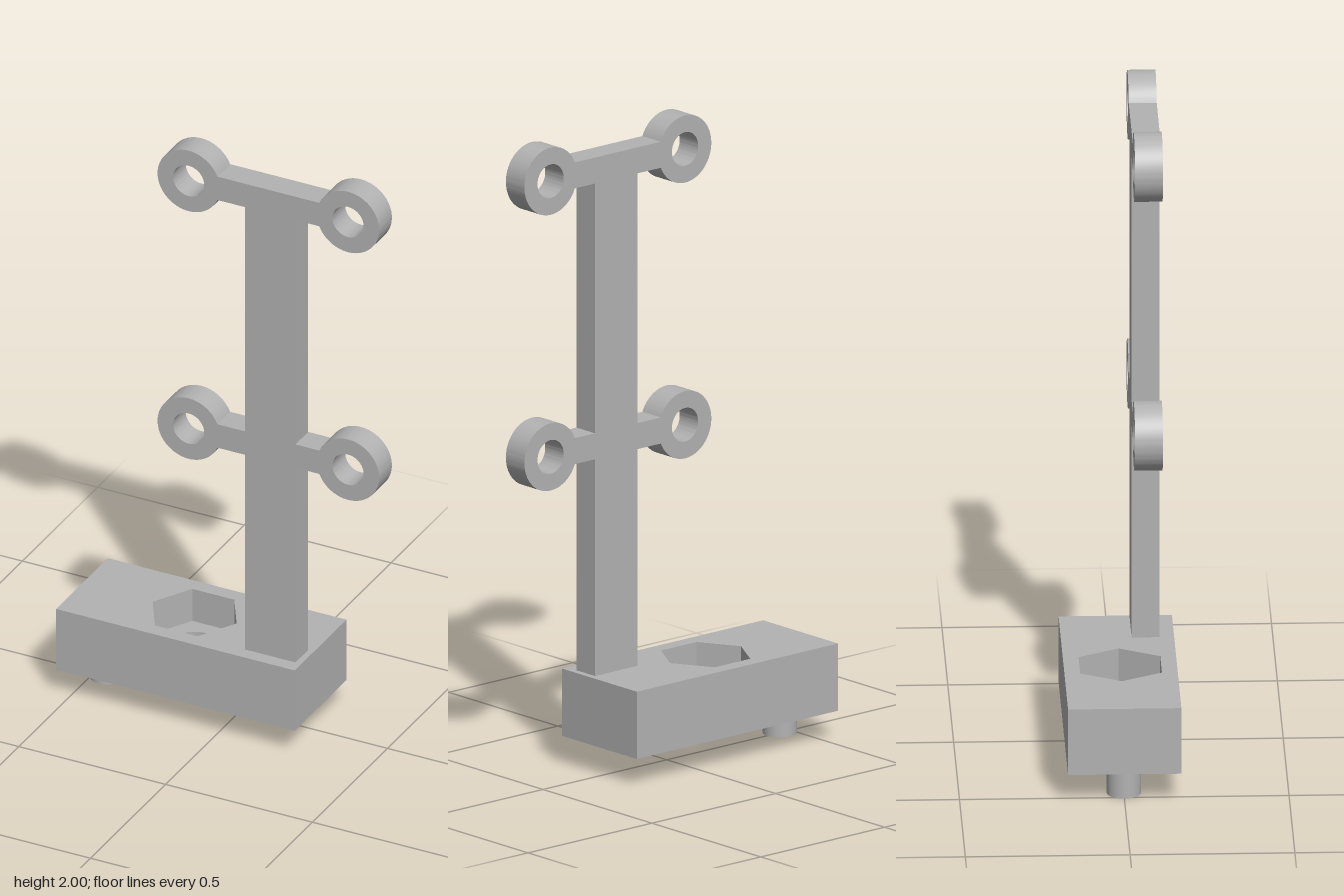
import * as THREE from 'three';
import { toCreasedNormals } from 'three/addons/utils/BufferGeometryUtils.js';

const grey = new THREE.MeshStandardMaterial({ color: 0xb2b2b2 });
grey.name = 'grey';

function circlePath(x, y, r) {
  return new THREE.Path().absarc(x, y, r, 0, Math.PI * 2, false);
}

function extrude(shape, depth) {
  const g = new THREE.ExtrudeGeometry(shape, { depth, bevelEnabled: false, curveSegments: 40 });
  return toCreasedNormals(g, 0.5);
}

function addMesh(group, name, geometry) {
  const mesh = new THREE.Mesh(geometry, grey);
  mesh.name = name;
  group.add(mesh);
  return mesh;
}

// Upright post with two cross arms, each ending in rings
function frameGeometry() {
  const left = 0.08, right = 0.252, bottom = 0.3;
  const ringL = -0.112, ringR = 0.431, lowY = 1.026, highY = 1.895;
  const r = 0.106, hole = 0.053, arm = 0.041;
  const a = Math.asin(arm / r);

  const s = new THREE.Shape();
  s.moveTo(left, bottom);
  s.lineTo(right, bottom);
  s.lineTo(right, lowY - arm);
  s.absarc(ringR, lowY, r, -Math.PI + a, Math.PI - a, false);
  s.lineTo(right, lowY + arm);
  s.lineTo(right, highY - arm);
  s.absarc(ringR, highY, r, -Math.PI + a, Math.PI - a, false);
  s.absarc(ringL, highY, r, a, Math.PI * 2 - a, false);
  s.lineTo(left, highY - arm);
  s.lineTo(left, lowY + arm);
  s.absarc(ringL, lowY, r, a, Math.PI * 2 - a, false);
  s.lineTo(left, lowY - arm);
  s.closePath();

  for (const x of [ringL, ringR])
    for (const y of [lowY, highY]) s.holes.push(circlePath(x, y, hole));
  return extrude(s, 0.085).translate(0, 0, 0.043);
}

// Horizontal slab of the base with one vertical opening
function slabGeometry(opening, y0, y1) {
  const s = new THREE.Shape([
    new THREE.Vector2(-0.541, -0.172), new THREE.Vector2(0.272, -0.172),
    new THREE.Vector2(0.272, 0.172), new THREE.Vector2(-0.541, 0.172),
  ]);
  s.holes.push(opening);
  return extrude(s, y1 - y0).rotateX(-Math.PI / 2).translate(0, y0, 0);
}

export function createModel() {
  const model = new THREE.Group();
  model.name = 'ringStand';

  addMesh(model, 'ringFrame', frameGeometry());

  // Base: round through hole below, hexagonal nut pocket above
  const base = new THREE.Group();
  base.name = 'base';
  model.add(base);
  const cx = -0.157, floor = 0.19;
  const hex = [];
  for (let i = 0; i < 6; i++) {
    const t = (i * Math.PI) / 3;
    hex.push(new THREE.Vector2(cx + 0.143 * Math.cos(t), 0.143 * Math.sin(t)));
  }
  addMesh(base, 'baseLower', slabGeometry(circlePath(cx, 0, 0.077), 0.09, floor));
  addMesh(base, 'baseUpper', slabGeometry(new THREE.Path(hex), floor, 0.302));

  // Locating peg under the base
  const peg = addMesh(model, 'peg', new THREE.CylinderGeometry(0.052, 0.052, 0.1, 40));
  peg.position.set(-0.457, 0.05, 0);

  return model;
}
